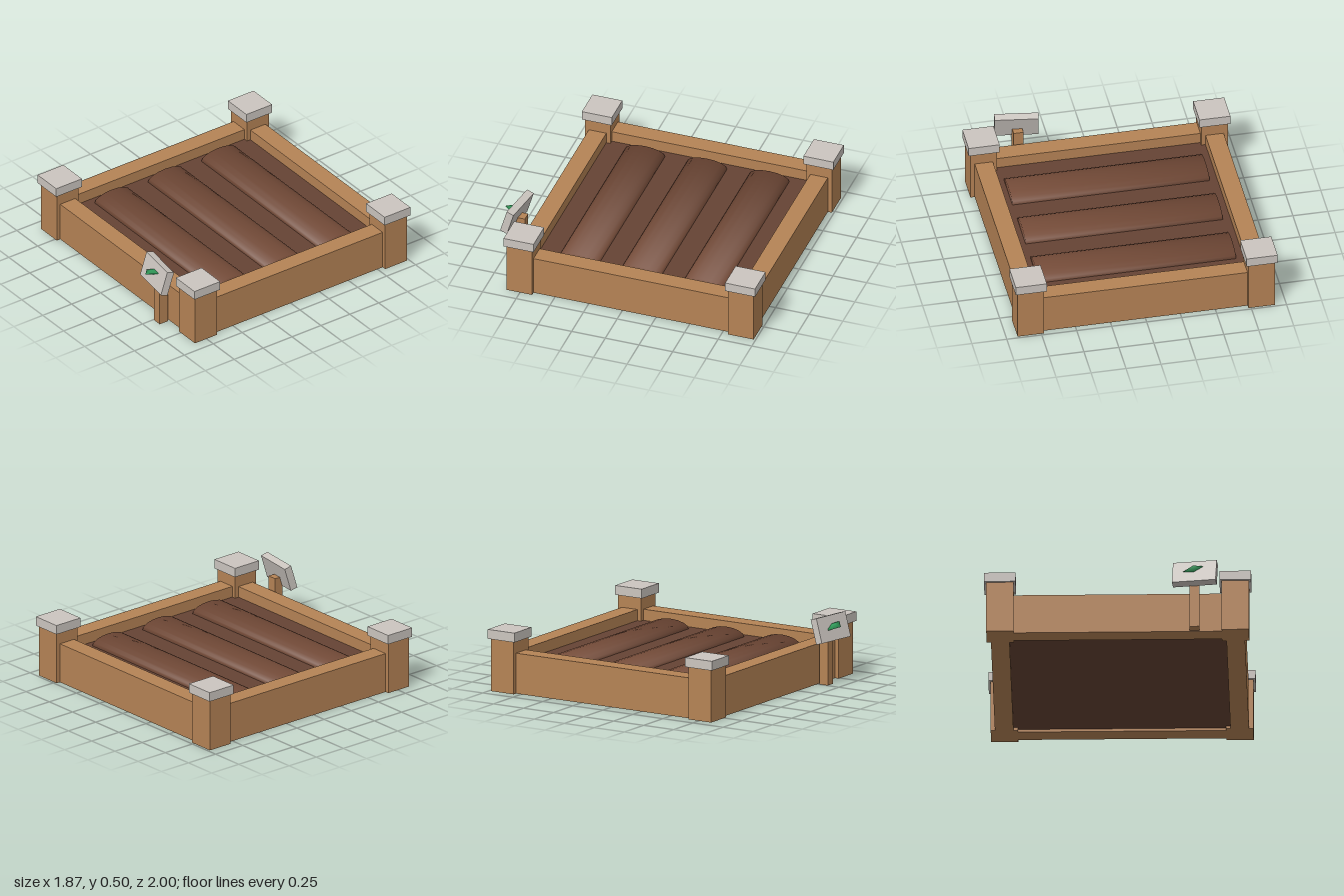
import * as THREE from 'three';
import { mergeVertices } from 'three/addons/utils/BufferGeometryUtils.js';

const mat = (name, color) => {
  const m = new THREE.MeshStandardMaterial({ color });
  m.name = name;
  return m;
};

// Flattened cylinder along x, with normals rounded off toward its two ends
function moundGeometry(length, radius, height) {
  let geo = new THREE.CylinderGeometry(radius, radius, length, 16, 1);
  geo.rotateZ(Math.PI / 2);
  geo.scale(1, height / radius, 1);
  geo.deleteAttribute('uv');
  geo.deleteAttribute('normal');
  geo = mergeVertices(geo);
  geo.computeVertexNormals();
  const p = geo.attributes.position, n = geo.attributes.normal, v = new THREE.Vector3();
  for (let i = 0; i < p.count; i++) {
    v.set(0, p.getY(i) / height ** 2, p.getZ(i) / radius ** 2);
    if (v.length() > 0.1) v.normalize();
    v.x = 0.6 * Math.sign(p.getX(i));
    v.normalize();
    n.setXYZ(i, v.x, v.y, v.z);
  }
  return geo;
}

export function createModel() {
  const model = new THREE.Group();
  model.name = 'raisedGardenBed';

  const wood = mat('wood', 0xb58355);
  const stone = mat('paleStone', 0xcbc5bf);
  const soil = mat('darkSoil', 0x654334);
  const tilled = mat('tilledSoil', 0x744b38);
  const green = mat('leafGreen', 0x35a560);

  const add = (name, geo, material, x, y, z, parent = model) => {
    const mesh = new THREE.Mesh(geo, material);
    mesh.name = name;
    mesh.position.set(x, y, z);
    parent.add(mesh);
    return mesh;
  };
  const box = (name, w, h, d, material, x, y, z) =>
    add(name, new THREE.BoxGeometry(w, h, d), material, x, y, z);

  const postX = 0.825, frontZ = 0.755, backZ = -0.89;
  const midZ = (frontZ + backZ) / 2, spanZ = frontZ - backZ;

  // Corner posts with caps
  for (const [end, z] of [['front', frontZ], ['back', backZ]]) {
    for (const [side, x] of [['Left', postX], ['Right', -postX]]) {
      box(`${end}${side}Post`, 0.19, 0.38, 0.19, wood, x, 0.19, z);
      box(`${end}${side}PostCap`, 0.222, 0.067, 0.222, stone, x, 0.411, z);
    }
    // Front and back rails
    box(`${end}Rail`, 1.62, 0.29, 0.13, wood, 0, 0.145, z);
  }

  // Side rails
  for (const [side, x] of [['left', postX], ['right', -postX]])
    box(`${side}Rail`, 0.13, 0.29, spanZ, wood, x, 0.145, midZ);

  // Soil bed and planting rows
  box('soilBed', 1.54, 0.19, spanZ - 0.11, soil, 0, 0.115, midZ);
  const mound = moundGeometry(1.41, 0.148, 0.055);
  [-0.53, -0.068, 0.393].forEach((z, i) => add(`plantingRow${i + 1}`, mound, tilled, 0, 0.21, z));

  // Sign on a stake, turned and tilted back
  box('signStake', 0.07, 0.38, 0.07, wood, 0.54, 0.19, 0.87);
  const board = box('signBoard', 0.31, 0.18, 0.055, stone, 0.543, 0.406, 0.905);
  board.rotation.set(-0.29, -0.14, 0, 'YXZ');

  // Small leaf on the sign
  const leaf = add('signLeaf', new THREE.SphereGeometry(1, 4, 2), green, 0.532, 0.427, 0.937);
  leaf.scale.set(0.074, 0.021, 0.06);
  leaf.rotation.z = 0.28;

  return model;
}
